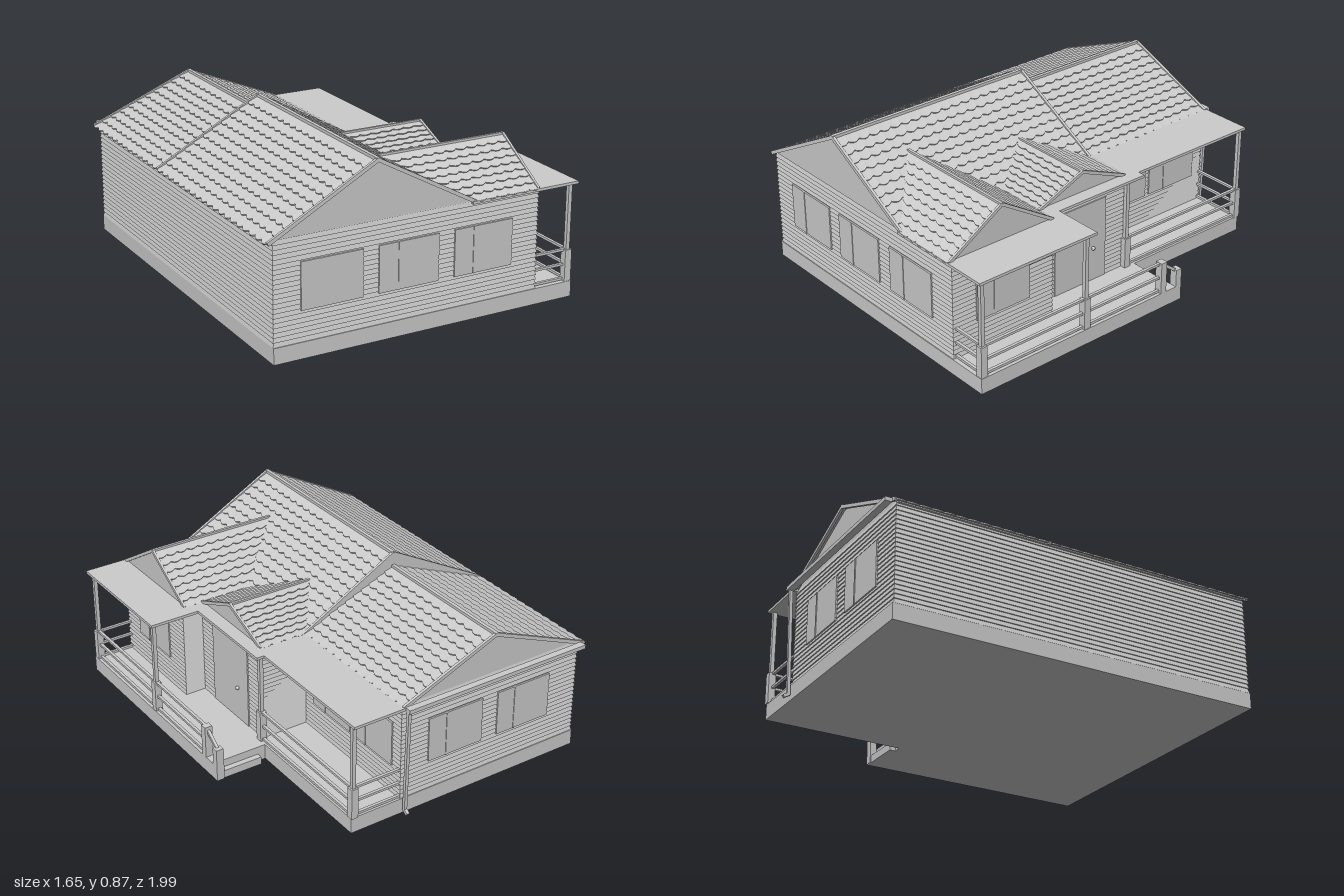
import * as THREE from 'three';

const V = (x, y, z) => new THREE.Vector3(x, y, z);
const solid = new THREE.MeshStandardMaterial({ color: 0xcccccc, flatShading: true });
const thin = new THREE.MeshStandardMaterial({ color: 0xcccccc, flatShading: true, side: THREE.DoubleSide });

export function createModel() {
  const house = new THREE.Group();
  house.name = 'house';

  function add(name, geometry, material = solid) {
    const mesh = new THREE.Mesh(geometry, material);
    mesh.name = name;
    house.add(mesh);
    return mesh;
  }
  // Box given by its lower and upper corner
  function block(name, x0, y0, z0, x1, y1, z1) {
    add(name, new THREE.BoxGeometry(x1 - x0, y1 - y0, z1 - z0))
      .position.set((x0 + x1) / 2, (y0 + y1) / 2, (z0 + z1) / 2);
  }
  // Square bar between two points
  function bar(name, a, b, w = 0.014, h = w) {
    const mesh = add(name, new THREE.BoxGeometry(w, h, a.distanceTo(b)));
    mesh.position.copy(a).lerp(b, 0.5);
    mesh.lookAt(b);
  }
  // Horizontal slab from a plan outline of [x, z] pairs
  function slab(name, plan, y, height) {
    const shape = new THREE.Shape(plan.map(([x, z]) => new THREE.Vector2(x, -z)));
    const geometry = new THREE.ExtrudeGeometry(shape, { depth: height, bevelEnabled: false });
    add(name, geometry.rotateX(-Math.PI / 2).translate(0, y, 0));
  }
  function surface(name, points) {
    const geometry = new THREE.BufferGeometry().setFromPoints(points);
    geometry.computeVertexNormals();
    add(name, geometry, thin);
  }
  const quad = (out, a, b, c, d) => out.push(a, b, c, a, c, d);

  // Foundation and porch deck, with a step at the end
  slab('foundation', [[-0.79, 0.98], [0.81, 0.98], [0.81, -0.22], [0.52, -0.22], [0.52, -0.95], [-0.79, -0.95]], 0, 0.08);
  block('porchStep', 0.56, 0, -0.25, 0.79, 0.04, -0.22);

  // Clapboard walls: every course leans out at its lower edge
  const plan = [[-0.785, 0.97], [0.6, 0.97], [0.6, 0.39], [0.49, 0.39], [0.49, -0.16], [0.24, -0.16], [0.24, -0.94], [-0.785, -0.94]];
  const ring = (offset, y) => plan.map(([x, z], i) => {
    const p = plan[(i + 7) % 8], n = plan[(i + 1) % 8];
    const nx = -Math.sign(z - p[1]) - Math.sign(n[1] - z);
    const nz = Math.sign(x - p[0]) + Math.sign(n[0] - x);
    return V(x + nx * offset, y, z + nz * offset);
  });
  const boards = [], courses = 22, step = 0.5 / courses;
  for (let k = 0; k < courses; k++) {
    const y = 0.08 + k * step;
    const inner = ring(0, y), lower = ring(0.006, y), upper = ring(0, y + step);
    for (let i = 0; i < 8; i++) {
      const j = (i + 1) % 8;
      quad(boards, inner[i], inner[j], lower[j], lower[i]);
      quad(boards, lower[i], lower[j], upper[j], upper[i]);
    }
  }
  surface('clapboardWalls', boards);

  // Windows and door; a facing of 'x' sits on a side wall
  function panel(name, facing, wall, center, width, y0, y1, out = 1) {
    const group = new THREE.Group();
    group.name = name;
    const part = (w, h, d, x, y, partName) => {
      const mesh = new THREE.Mesh(new THREE.BoxGeometry(w, h, d), solid);
      mesh.position.set(x, y, 0);
      mesh.name = partName;
      group.add(mesh);
    };
    const height = y1 - y0;
    part(width, height, 0.02, 0, 0, 'pane');
    if (name === 'window') part(0.008, height, 0.026, -width * 0.17, 0, 'mullion');
    if (facing === 'x') group.rotation.y = Math.PI / 2;
    else if (out < 0) group.rotation.y = Math.PI;
    group.position.set(facing === 'x' ? wall : center, (y0 + y1) / 2, facing === 'x' ? center : wall);
    house.add(group);
  }
  for (const x of [-0.495, -0.1, 0.3]) panel('window', 'z', 0.97, x, 0.315, 0.23, 0.46);
  for (const x of [-0.065, -0.465]) panel('window', 'z', -0.94, x, 0.31, 0.23, 0.46, -1);
  panel('window', 'x', 0.6, 0.685, 0.31, 0.23, 0.46);
  for (const z of [-0.39, -0.725]) panel('window', 'x', 0.24, z, 0.31, 0.23, 0.46);
  panel('door', 'x', 0.49, 0.12, 0.32, 0.08, 0.51);
  add('doorKnob', new THREE.SphereGeometry(0.01, 12, 8)).position.set(0.508, 0.26, 0.045);

  // Roof slope with overlapping scalloped shingle rows, from eave a-b to ridge c-d
  function slope(name, a, b, c, d, rows) {
    const normal = b.clone().sub(a).cross(d.clone().sub(a)).normalize();
    if (normal.y < 0) return slope(name, b, a, d, c, rows);
    const at = (u, t, lift) => a.clone().lerp(b, u).lerp(c.clone().lerp(d, u), t).addScaledVector(normal, lift);
    const out = [];
    quad(out, at(0, 0, 0), at(1, 0, 0), at(1, 1, 0), at(0, 1, 0));
    for (let r = 0; r < rows; r++) {
      const t = r / rows;
      const width = at(0, t, 0).distanceTo(at(1, t, 0));
      const n = Math.max(1, Math.round(width / 0.06)) * 6;
      const edge = (i, lift) => at(i / n, t - 0.25 / rows * Math.sin(Math.PI * (i % 6) / 6), lift);
      for (let i = 0; i < n; i++) {
        quad(out, edge(i, 0), edge(i + 1, 0), edge(i + 1, 0.008), edge(i, 0.008));
        quad(out, edge(i, 0.008), edge(i + 1, 0.008), at((i + 1) / n, (r + 1) / rows, 0.001), at(i / n, (r + 1) / rows, 0.001));
      }
    }
    surface(name, out);
  }

  // Main roof: a higher front section and a lower rear one
  const rx = -0.27;
  for (const [z0, z1, top] of [[0.985, -0.16, 0.86], [-0.16, -0.965, 0.79]]) {
    slope('mainRoofLeft', V(-0.81, 0.57, z0), V(-0.81, 0.57, z1), V(rx, top, z0), V(rx, top, z1), 11);
    slope('mainRoofRight', V(0.24, 0.58, z0), V(0.24, 0.58, z1), V(rx, top, z0), V(rx, top, z1), 11);
    bar('ridgeCap', V(rx, top + 0.003, z0), V(rx, top + 0.003, z1), 0.018);
    for (const z of z0 > 0 ? [z0 - 0.007, z1] : [z1 + 0.007]) {
      bar('bargeBoard', V(-0.815, 0.57, z), V(rx, top + 0.003, z), 0.014, 0.018);
      bar('bargeBoard', V(0.245, 0.58, z), V(rx, top + 0.003, z), 0.014, 0.018);
    }
  }
  for (const [z, top] of [[0.965, 0.86], [-0.162, 0.86], [-0.94, 0.79]])
    surface('gableWall', [V(-0.81, 0.57, z), V(0.24, 0.575, z), V(rx, top, z)]);
  slab('ceiling', [[-0.8, 0.965], [0.24, 0.965], [0.24, -0.94], [-0.8, -0.94]], 0.568, 0.006);

  // Two cross gables over the porch side
  for (const [z0, z1, top, start, end] of [[0.38, 0.98, 0.765, -0.09, 0.6], [-0.16, 0.38, 0.69, 0.04, 0.5]]) {
    const mid = (z0 + z1) / 2;
    for (const z of [z0, z1]) {
      slope('crossGableRoof', V(0.24, 0.58, z), V(end, 0.58, z), V(start, top, mid), V(end, top, mid), 8);
      bar('crossGableBarge', V(end - 0.005, 0.582, z), V(end - 0.005, top + 0.003, mid), 0.012, 0.016);
    }
    bar('crossGableRidge', V(start, top + 0.002, mid), V(end, top + 0.002, mid), 0.014);
    surface('crossGableWall', [V(end - 0.01, 0.58, z1), V(end - 0.01, 0.58, z0), V(end - 0.01, top, mid)]);
  }

  // Flat porch roof
  slab('porchRoof', [[0.23, 0.99], [0.82, 0.99], [0.82, 0.31], [0.56, 0.31], [0.56, -0.23], [0.52, -0.23], [0.52, -0.97], [0.23, -0.97]], 0.57, 0.014);

  // Porch posts, thick newels and railings
  for (const [x, z] of [[0.79, 0.96], [0.79, 0.35], [0.505, -0.17], [0.505, -0.94]]) {
    bar('porchPost', V(x, 0.08, z), V(x, 0.575, z), 0.02);
    block('newel', x - 0.018, 0.08, z - 0.018, x + 0.018, 0.24, z + 0.018);
  }
  block('newel', 0.77, 0.04, -0.155, 0.81, 0.245, -0.12);
  block('stepNewel', 0.77, 0, -0.255, 0.81, 0.17, -0.22);
  const runs = [
    [V(0.6, 0, 0.955), V(0.79, 0, 0.955)], [V(0.79, 0, 0.955), V(0.79, 0, 0.35)],
    [V(0.79, 0, 0.35), V(0.79, 0, -0.13)], [V(0.505, 0, -0.17), V(0.505, 0, -0.935)],
    [V(0.24, 0, -0.935), V(0.505, 0, -0.935)],
  ];
  for (const [a, b] of runs)
    for (const y of [0.237, 0.163, 0.09]) bar('rail', a.clone().setY(y), b.clone().setY(y), 0.015, 0.012);
  bar('stepRail', V(0.79, 0.23, -0.14), V(0.79, 0.155, -0.24), 0.015);

  // Rear gutter and downspout
  block('gutter', -0.79, 0.565, -1, 0.24, 0.585, -0.965);
  bar('downspout', V(0.23, 0.575, -0.98), V(0.23, 0.02, -0.965), 0.016);
  bar('downspoutFoot', V(0.23, 0.025, -0.965), V(0.23, 0.01, -0.99), 0.016);

  return house;
}
